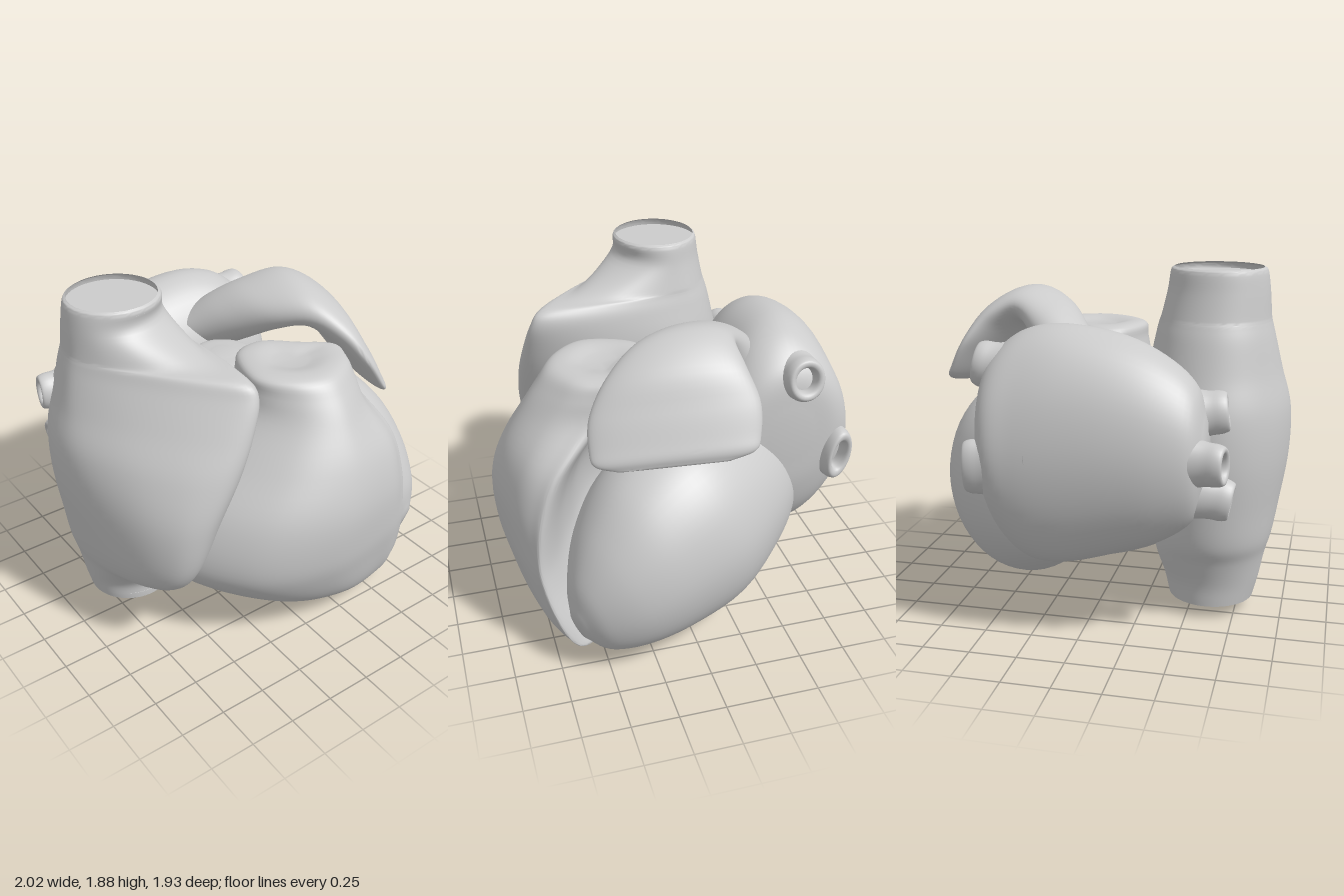
import * as THREE from 'three';
import { toCreasedNormals } from 'three/addons/utils/BufferGeometryUtils.js';

const V = (x, y, z) => new THREE.Vector3(x, y, z);
const lerp = THREE.MathUtils.lerp;
const material = new THREE.MeshStandardMaterial({ color: 0xcccccc, side: THREE.DoubleSide });

// Elliptical ring of control points spanned by the directions u and v
function ring(c, u, v, ru, rv, n = 12) {
  return Array.from({ length: n }, (_, i) => {
    const a = (i / n) * Math.PI * 2;
    return c.clone().addScaledVector(u, ru * Math.cos(a)).addScaledVector(v, rv * Math.sin(a));
  });
}

// Smooth skin through closed rings, with optional end caps
function loft(rings, { around = 56, along = 44, caps = true } = {}) {
  const dense = rings.map((r) => {
    const curve = new THREE.CatmullRomCurve3(r, true, 'catmullrom');
    return Array.from({ length: around }, (_, i) => curve.getPoint(i / around));
  });
  const columns = Array.from({ length: around }, (_, i) =>
    new THREE.CatmullRomCurve3(dense.map((r) => r[i]), false, 'catmullrom').getPoints(along));
  const pts = [];
  for (let j = 0; j <= along; j++) for (let i = 0; i < around; i++) pts.push(columns[i][j]);
  const index = [];
  for (let j = 0; j < along; j++) {
    for (let i = 0; i < around; i++) {
      const a = j * around + i, b = j * around + ((i + 1) % around);
      index.push(a, b, a + around, b, b + around, a + around);
    }
  }
  if (caps) {
    for (const [j, flip] of [[0, true], [along, false]]) {
      const mid = V(0, 0, 0);
      for (let i = 0; i < around; i++) mid.addScaledVector(columns[i][j], 1 / around);
      const m = pts.push(mid) - 1;
      for (let i = 0; i < around; i++) {
        const a = j * around + i, b = j * around + ((i + 1) % around);
        index.push(...(flip ? [m, b, a] : [m, a, b]));
      }
    }
  }
  // Turn the faces outward if the enclosed volume is negative
  const centre = pts.reduce((s, p) => s.add(p), V(0, 0, 0)).divideScalar(pts.length);
  const q = pts.map((p) => p.clone().sub(centre));
  let volume = 0;
  for (let k = 0; k < index.length; k += 3) {
    volume += q[index[k]].dot(q[index[k + 1]].clone().cross(q[index[k + 2]]));
  }
  if (volume < 0) index.reverse();
  const g = new THREE.BufferGeometry().setFromPoints(pts);
  g.setIndex(index);
  return toCreasedNormals(g, 0.9);
}

const X = V(1, 0, 0), Y = V(0, 1, 0), Z = V(0, 0, 1);

// Level ellipse (y, centre x, z, radius x, z) drawn out towards a lobe tip (x, z, half width)
function lobed([y, cx, cz, rx, rz, tx, tz, tw]) {
  const points = ring(V(cx, y, cz), X, Z, rx, rz, 18);
  if (tx === undefined) return points;
  const angle = Math.atan2(tz - cz, tx - cx);
  return points.map((p, i) => {
    const d = (i / 18) * Math.PI * 2 - angle;
    const side = Math.sin(d) * tw;
    const target = V(tx - Math.sin(angle) * side, y, tz + Math.cos(angle) * side);
    return p.lerp(target, Math.max(0, Math.cos(d)) ** 1.7);
  });
}

export function createModel() {
  const model = new THREE.Group();
  model.name = 'heartChambers';
  const add = (name, geometry, parent = model) => {
    const mesh = new THREE.Mesh(geometry, material);
    mesh.name = name;
    parent.add(mesh);
    return mesh;
  };

  // Right atrium with its forward lobe, running into the upper and lower great veins
  add('rightAtrium', loft([
    [0.08, -0.61, -0.13, 0.23, 0.23],
    [0.2, -0.61, -0.13, 0.26, 0.25],
    [0.34, -0.6, -0.12, 0.3, 0.31, -0.68, 0.24, 0.2],
    [0.45, -0.61, -0.11, 0.32, 0.37, -0.7, 0.5, 0.2],
    [0.62, -0.62, -0.08, 0.34, 0.43, -0.7, 0.64, 0.22],
    [0.9, -0.63, -0.07, 0.37, 0.47, -0.62, 0.7, 0.26],
    [1.15, -0.62, -0.08, 0.38, 0.45, -0.47, 0.71, 0.26],
    [1.35, -0.6, -0.11, 0.35, 0.37, -0.36, 0.69, 0.22],
    [1.52, -0.6, -0.13, 0.31, 0.31, -0.29, 0.65, 0.17],
    [1.6, -0.6, -0.13, 0.29, 0.285, -0.31, 0.58, 0.14],
    [1.63, -0.6, -0.13, 0.285, 0.275, -0.4, 0.35, 0.17],
    [1.76, -0.61, -0.13, 0.265, 0.25],
    [1.86, -0.61, -0.13, 0.25, 0.235],
    [1.88, -0.61, -0.13, 0.23, 0.22],
  ].map(lobed), { around: 80, along: 78, caps: false }));
  for (const [name, y, r] of [['upperVeinEnd', 1.845, 0.235], ['lowerVeinEnd', 0.12, 0.235]]) {
    const disc = add(name, new THREE.CircleGeometry(r, 48));
    disc.rotation.x = -Math.PI / 2;
    disc.position.set(-0.61, y, -0.13);
  }

  // Right ventricle: crescent sections (y, left, right, front, edge, septum, back, side)
  const crescent = ([y, l, r, f, e, s, b, side]) => [
    [0, side], [0.2, lerp(side, f, 0.72)], [0.52, f], [0.84, lerp(f, e, 0.3)],
    [0.97, lerp(f, e, 0.75)], [1, e], [0.93, lerp(e, s, 0.2)], [0.74, lerp(e, s, 0.5)],
    [0.45, s], [0.15, b],
  ].map(([t, z]) => V(lerp(l, r, t), y, z));
  add('rightVentricle', loft([
    [0.005, 0.42, 0.57, 0.55, 0.52, 0.44, 0.44, 0.48],
    [0.03, 0.22, 0.64, 0.65, 0.6, 0.38, 0.33, 0.46],
    [0.09, -0.03, 0.66, 0.74, 0.66, 0.3, 0.2, 0.45],
    [0.22, -0.34, 0.66, 0.84, 0.72, 0.3, 0.08, 0.4],
    [0.42, -0.61, 0.63, 0.91, 0.78, 0.36, 0.02, 0.35],
    [0.6, -0.67, 0.61, 0.95, 0.8, 0.4, 0, 0.33],
    [0.85, -0.57, 0.6, 0.96, 0.77, 0.4, 0, 0.35],
    [1.08, -0.36, 0.57, 0.9, 0.68, 0.33, 0.05, 0.38],
    [1.28, -0.18, 0.48, 0.79, 0.48, 0.17, 0.12, 0.4],
    [1.4, -0.14, 0.47, 0.71, 0.38, 0.1, 0.13, 0.4],
    [1.48, -0.13, 0.44, 0.64, 0.38, 0.11, 0.15, 0.4],
    [1.5, -0.05, 0.36, 0.55, 0.37, 0.18, 0.22, 0.38],
    [1.48, 0.05, 0.24, 0.45, 0.36, 0.28, 0.3, 0.36],
  ].map(crescent), { around: 80, along: 60 }));

  // Left ventricle: tilted egg from base to apex
  const u = V(0.92, 0, -0.39), v = V(0.11, 0.95, 0.27);
  add('leftVentricle', loft([
    [0.16, 0.78, -0.6, 0.16, 0.2],
    [0.22, 0.76, -0.5, 0.29, 0.37],
    [0.34, 0.72, -0.28, 0.39, 0.5],
    [0.48, 0.66, -0.02, 0.445, 0.57],
    [0.61, 0.57, 0.25, 0.41, 0.52],
    [0.71, 0.46, 0.45, 0.32, 0.4],
    [0.78, 0.36, 0.59, 0.18, 0.25],
    [0.8, 0.32, 0.66, 0.06, 0.09],
  ].map(([x, y, z, ru, rv]) => ring(V(x, y, z), u, v, ru, rv))));

  // Stump of the main artery between the chambers
  add('aorticRoot', loft([
    [0.85, 0.12, -0.05, 0.22, 0.22],
    [1.1, 0.05, -0.05, 0.22, 0.23],
    [1.28, 0.02, -0.05, 0.21, 0.22],
    [1.37, 0.01, -0.05, 0.17, 0.18],
    [1.39, 0.01, -0.05, 0.06, 0.06],
  ].map(lobed)));

  // Left atrium: rows of x, centre y, centre z, radius y, radius z
  add('leftAtrium', loft([
    [-0.64, 1.03, -0.68, 0.16, 0.12],
    [-0.58, 1.03, -0.67, 0.34, 0.22],
    [-0.42, 1.03, -0.64, 0.47, 0.3],
    [-0.2, 1.03, -0.61, 0.56, 0.35],
    [0.08, 1.01, -0.6, 0.62, 0.36],
    [0.28, 1.0, -0.58, 0.6, 0.37],
    [0.42, 1.03, -0.58, 0.48, 0.35],
    [0.49, 1.08, -0.58, 0.32, 0.26],
    [0.51, 1.1, -0.58, 0.12, 0.1],
  ].map(([x, y, z, ry, rz]) => ring(V(x, y, z), Y, Z, ry, rz))));

  // Open lung-vein stubs on both sides: mouth position, direction, height and depth scale
  const profile = [[0.23, -0.3], [0.16, -0.2], [0.12, -0.09], [0.113, -0.02], [0.098, 0.015],
    [0.07, 0.01], [0.058, -0.03], [0.055, -0.1], [0, -0.1]];
  const spline = new THREE.SplineCurve(profile.map(([r, h]) => new THREE.Vector2(r, h)));
  const stub = new THREE.LatheGeometry(spline.getPoints(32).map((p) => p.setX(Math.max(p.x, 0))), 32);
  const veins = new THREE.Group();
  veins.name = 'lungVeins';
  model.add(veins);
  [
    [V(0.53, 1.42, -0.63), V(1, 0.2, -0.05), 1.05, 0.95],
    [V(0.53, 0.94, -0.85), V(1, 0, -0.2), 1.3, 0.7],
    [V(-0.71, 1.22, -0.56), V(-1, 0.12, 0.1), 0.95, 0.8],
    [V(-0.75, 0.8, -0.68), V(-1, -0.2, 0), 0.95, 0.75],
    [V(-0.73, 1.02, -0.82), V(-1, 0, -0.2), 0.95, 0.75],
  ].forEach(([p, d, h, w], i) => {
    const vein = add('lungVein' + (i + 1), stub, veins);
    vein.position.copy(p);
    vein.quaternion.setFromUnitVectors(Y, d.normalize());
    vein.scale.set(h, 1, w);
  });

  // Left auricle: thin arched flap (centre, half width, half thickness, slope of the arch)
  const across = V(-0.2, -0.08, 0.97).normalize();
  add('leftAuricle', loft([
    [0.1, 1.35, -0.4, 0.16, 0.16, 0.9],
    [0.19, 1.47, -0.26, 0.2, 0.15, 0.7],
    [0.29, 1.57, -0.12, 0.23, 0.13, 0.5],
    [0.42, 1.63, 0.01, 0.27, 0.11, -0.1],
    [0.55, 1.56, 0.08, 0.35, 0.1, -0.75],
    [0.65, 1.42, 0.11, 0.42, 0.08, -1.05],
    [0.73, 1.28, 0.13, 0.42, 0.065, -1.0],
    [0.77, 1.22, 0.14, 0.39, 0.05, -0.95],
    [0.79, 1.19, 0.15, 0.27, 0.02, -0.95],
  ].map(([x, y, z, w, t, a]) =>
    ring(V(x, y, z), across, V(-Math.sin(a), Math.cos(a), 0), w, t, 16))));

  return model;
}
